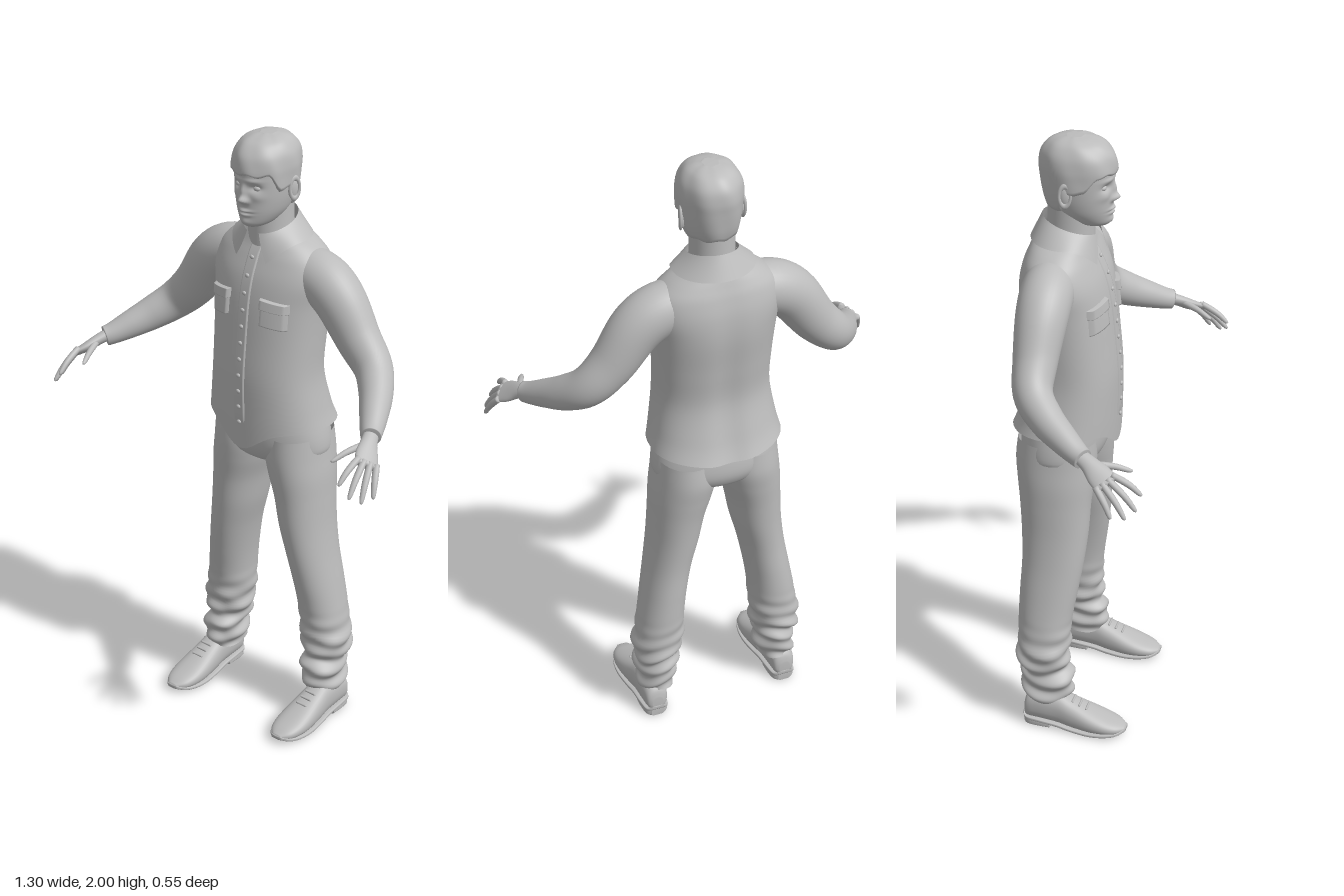
import * as THREE from 'three';

const grey = new THREE.MeshStandardMaterial({ color: 0xbcbcbc, side: THREE.DoubleSide });
grey.name = 'plain grey';
const TAU = Math.PI * 2;
const { lerp, smoothstep } = THREE.MathUtils;
const spow = (v, e) => Math.sign(v) * Math.abs(v) ** e;
const bell = (x, y, sx, sy) => Math.exp(-((x / sx) ** 2) - (y / sy) ** 2);

// Smooth interpolation through rows of numbers, t in 0..1
function sample(rows, t) {
  const f = Math.min(Math.max(t, 0), 1) * (rows.length - 1);
  const i = Math.min(Math.floor(f), rows.length - 2), k = f - i;
  const a = rows[Math.max(i - 1, 0)], b = rows[i], c = rows[i + 1], d = rows[Math.min(i + 2, rows.length - 1)];
  return b.map((_, j) => b[j] + 0.5 * k * (c[j] - a[j] + k * (2 * a[j] - 5 * b[j] + 4 * c[j] - d[j]
    + k * (3 * (b[j] - c[j]) + d[j] - a[j]))));
}

// t on the rows where the first column reaches y
function findT(rows, y) {
  let lo = 0, hi = 1;
  for (let i = 0; i < 24; i++) {
    const mid = (lo + hi) / 2;
    if (sample(rows, mid)[0] < y) lo = mid; else hi = mid;
  }
  return lo;
}

// Surface from pt(t, u); wraps around u when closed, caps may be '', 's', 'e' or 'se'
function surface(m, n, pt, closed = true, caps = '') {
  const pos = [], idx = [], w = closed ? n : n + 1;
  for (let i = 0; i <= m; i++) for (let j = 0; j < w; j++) pos.push(...pt(i / m, j / n));
  for (let i = 0; i < m; i++) for (let j = 0; j < n; j++) {
    const a = i * w + j, b = i * w + (j + 1) % w;
    idx.push(a, b, b + w, a, b + w, a + w);
  }
  const cap = (row, flip) => {
    const c = [0, 0, 0], id = pos.length / 3;
    for (let j = 0; j < w; j++) for (let k = 0; k < 3; k++) c[k] += pos[(row * w + j) * 3 + k] / w;
    pos.push(...c);
    for (let j = 0; j < n; j++) {
      const a = row * w + j, b = row * w + (j + 1) % w;
      idx.push(id, flip ? b : a, flip ? a : b);
    }
  };
  if (caps.includes('s')) cap(0, true);
  if (caps.includes('e')) cap(m, false);
  const g = new THREE.BufferGeometry();
  g.setAttribute('position', new THREE.Float32BufferAttribute(pos, 3));
  g.setIndex(idx);
  g.computeVertexNormals();
  return g;
}

// Upright ring point; rows are [y, centreX, backZ, frontZ, halfWidth]
function ring(rows, t, a, e = 1, off = 0) {
  const [y, cx, zb, zf, rx] = sample(rows, t);
  return [cx + (rx + off) * spow(Math.sin(a), e), y, (zb + zf) / 2 + ((zf - zb) / 2 + off) * spow(Math.cos(a), e)];
}

// Limb along a path; rows are [x, y, z, radiusU, radiusV], ref sets the U direction
function limb(rows, m, n, ref) {
  return surface(m, n, (t, u) => {
    const [x, y, z, r1, r2] = sample(rows, t);
    const T = new THREE.Vector3(...sample(rows, t + 0.01)).sub(new THREE.Vector3(...sample(rows, t - 0.01))).normalize();
    const U = ref.clone().addScaledVector(T, -ref.dot(T)).normalize();
    const p = new THREE.Vector3(x, y, z).addScaledVector(U, r1 * Math.cos(u * TAU));
    return p.addScaledVector(T.cross(U), r2 * Math.sin(u * TAU)).toArray();
  }, true, 'se');
}

const SHIRT = [[1.06, 0, -.275, .056, .213], [1.12, 0, -.25, .059, .2], [1.23, 0, -.224, .06, .185], [1.35, 0, -.232, .05, .187],
  [1.47, 0, -.245, .037, .195], [1.55, 0, -.243, .02, .207], [1.61, 0, -.23, -.004, .195], [1.65, 0, -.215, -.022, .155],
  [1.685, 0, -.2, -.033, .098], [1.705, 0, -.19, -.038, .076]];
const HEAD = [[1.722, 0, -.07, .018, .03], [1.735, 0, -.11, .03, .05], [1.765, 0, -.15, .035, .07], [1.8, 0, -.166, .037, .081],
  [1.84, 0, -.174, .038, .087], [1.88, 0, -.179, .04, .089], [1.91, 0, -.181, .04, .089], [1.945, 0, -.174, .03, .082],
  [1.972, 0, -.152, .004, .064], [1.985, 0, -.125, -.03, .041], [1.99, 0, -.095, -.062, .015]];
const LEG = [[.1, .215, -.195, -.05, .052], [.14, .213, -.206, -.04, .061], [.19, .212, -.212, -.038, .063], [.22, .208, -.208, -.056, .066],
  [.27, .21, -.222, -.052, .079], [.35, .2, -.222, -.05, .078], [.42, .192, -.222, -.043, .074], [.5, .18, -.22, -.03, .072],
  [.6, .162, -.217, -.015, .073], [.7, .143, -.222, -.005, .08], [.8, .13, -.23, 0, .087], [.88, .116, -.24, .008, .097],
  [.95, .105, -.247, .012, .1], [1.02, .103, -.24, .01, .095]];
const PELVIS = [[.905, 0, -.15, -.07, .04], [.92, 0, -.215, -.015, .12], [.95, 0, -.242, .01, .195], [1, 0, -.25, .025, .205], [1.1, 0, -.235, .03, .185]];
const ARM = [[.06, 1.57, -.12, .075, .075], [.17, 1.56, -.118, .085, .082], [.25, 1.512, -.115, .083, .08], [.33, 1.402, -.113, .073, .068],
  [.4, 1.33, -.1, .064, .06], [.455, 1.283, -.045, .056, .053], [.5, 1.248, .022, .045, .044], [.53, 1.226, .07, .036, .036], [.545, 1.218, .094, .033, .031]];
const PALM = [[.538, 1.224, .08, .024, .02], [.555, 1.21, .115, .027, .018], [.575, 1.19, .15, .037, .016], [.598, 1.173, .182, .037, .011]];
const SHOE = [[-.197, .03, .075, .018], [-.185, .02, .11, .036], [-.14, .018, .13, .043], [-.08, .012, .128, .045], [-.03, .004, .106, .05],
  [.03, .001, .08, .056], [.08, .004, .06, .054], [.12, .009, .045, .041], [.146, .018, .032, .016]];

const SE = 0.88; // squareness of the chest
function shirtZ(x, y) {
  const [, , zb, zf, rx] = sample(SHIRT, findT(SHIRT, y));
  const sn = Math.min(Math.abs(x) / rx, 1) ** (1 / SE);
  return (zb + zf) / 2 + (zf - zb) / 2 * Math.sqrt(1 - sn * sn) ** SE;
}

// Raised cloth panel lying on the shirt front
function panel(x0, x1, y0, y1, depth, tilt = 0) {
  return surface(24, 12, (t, u) => {
    const x = lerp(x0, x1, u), y = lerp(y0, y1, t) + tilt * (u - 0.5);
    const edge = u === 0 || u === 1 || t === 0 || t === 1;
    return [x, y, shirtZ(x, y) + (edge ? -0.002 : depth)];
  }, false);
}

export function createModel() {
  const root = new THREE.Group();
  root.name = 'standingMan';
  const add = (name, geo, x = 0, y = 0, z = 0, sx = 1, sy = sx, sz = sx) => {
    const mesh = new THREE.Mesh(geo, grey);
    mesh.name = name;
    mesh.position.set(x, y, z);
    mesh.scale.set(sx, sy, sz);
    root.add(mesh);
    return mesh;
  };
  const ball = new THREE.SphereGeometry(1, 20, 14);

  // Shirt body with a curved hem and a groove down the back
  add('shirtBody', surface(50, 72, (t, u) => {
    const p = ring(SHIRT, t, u * TAU, SE), front = Math.cos(u * TAU) > 0;
    if (!front) p[2] += 0.014 * bell(p[0], 0, 0.045, 1) * (1 - t);
    p[1] -= (front ? 0.08 * bell(p[0], 0, 0.09, 1) : 0.022 * bell(p[0], 0, 0.15, 1)) * (1 - smoothstep(t, 0, 0.2));
    return p;
  }));
  add('buttonPlacket', panel(-0.022, 0.022, 1.06, 1.655, 0.004));
  for (let i = 0; i < 11; i++) {
    const y = 1.075 + i * 0.054;
    add('button', ball, 0, y, shirtZ(0, y) + 0.005, 0.008, 0.007, 0.005);
  }
  // Folded collar, open at the throat
  add('collar', surface(8, 60, (t, u) => {
    const a0 = lerp(0.47, 0.3, t), a = lerp(a0, TAU - a0, u), c = Math.cos(a);
    const y = lerp(1.672 - 0.088 * Math.max(c, 0) ** 3, 1.72 - 0.025 * c, t);
    return [lerp(0.13, 0.078, t) * Math.sin(a), y, lerp(-0.1, -0.092, t) + lerp(0.117, 0.09, t) * c];
  }, false));

  // Neck and head; the face is shaped by soft bumps [x, y, spreadX, spreadY, depth]
  add('neck', surface(10, 40, (t, u) => ring([[1.64, 0, -.18, -.02, .08], [1.7, 0, -.168, -.02, .07], [1.8, 0, -.165, -.02, .068]], t, u * TAU)));
  const bumps = [[0, 1.815, .013, .012, .019], [0, 1.84, .01, .022, .011], [.013, 1.81, .008, .008, .007], [.034, 1.853, .018, .011, -.011],
    [.03, 1.876, .024, .007, .004], [0, 1.778, .022, .005, .008], [0, 1.765, .019, .005, .007], [0, 1.772, .025, .0025, -.004],
    [0, 1.74, .02, .012, .006], [.045, 1.825, .018, .014, .004]];
  add('head', surface(110, 110, (t, u) => {
    const p = ring(HEAD, t, u * TAU);
    if (Math.cos(u * TAU) > 0) {
      let d = 0;
      for (const [x, y, sx, sy, h] of bumps) d += h * bell(Math.abs(p[0]) - x, p[1] - y, sx, sy);
      p[2] += d;
    }
    return p;
  }, true, 'se'));
  // Cropped hair: fringe, sideburns and low nape
  add('hair', surface(30, 72, (t, u) => {
    const a = u * TAU, s = Math.min(a, TAU - a);
    const low = 1.89 - 0.05 * smoothstep(s, 0.85, 1.25) - 0.07 * smoothstep(s, 1.7, 2.1) + 0.004 * Math.sin(a * 9);
    const y = lerp(low, 1.99, Math.sin(t * Math.PI / 2));
    const p = ring(HEAD, findT(HEAD, y), a, 1, t === 0 ? -0.002 : 0.009 + 0.0015 * Math.sin(a * 7 + t * 6));
    p[1] += 0.01 * t;
    return p;
  }, true, 'e'));

  // Trouser seat
  add('trouserSeat', surface(20, 60, (t, u) => ring(PELVIS, t, u * TAU, 0.95), true, 's'));

  for (const s of [1, -1]) {
    const flip = rows => rows.map(([x, ...r]) => [x * s, ...r]);
    const side = s > 0 ? 'left' : 'right';

    add(side + 'Eye', ball, 0.034 * s, 1.852, 0.014, 0.014, 0.01, 0.012);
    add(side + 'Ear', ball, 0.091 * s, 1.837, -0.085, 0.009, 0.034, 0.018).rotation.y = -0.3 * s;
    const rim = add(side + 'EarRim', new THREE.TorusGeometry(0.017, 0.005, 8, 24), 0.097 * s, 1.839, -0.086, 1, 1.9, 1);
    rim.rotation.y = Math.PI / 2 - 0.3 * s;

    // Chest pocket with flap
    const px = [0.06 * s, 0.147 * s].sort((a, b) => a - b);
    add(side + 'Pocket', panel(px[0], px[1], 1.412, 1.495, 0.009, -0.012 * s));
    add(side + 'PocketFlap', panel(px[0] - 0.003, px[1] + 0.003, 1.468, 1.5, 0.014, -0.012 * s));

    // Sleeve, palm, fingers and thumb
    add(side + 'Sleeve', limb(flip(ARM), 48, 36, new THREE.Vector3(0, 1, 0)));
    const across = new THREE.Vector3(0.04 * s, -0.03, -0.045);
    add(side + 'Palm', limb(flip(PALM), 14, 24, across));
    const fingers = [[.575, 1.19, .2, .572, 1.14, .28], [.59, 1.178, .19, .605, 1.103, .272], [.604, 1.168, .175, .63, 1.085, .245],
      [.616, 1.16, .157, .644, 1.09, .205], [.553, 1.207, .12, .508, 1.18, .235]];
    fingers.forEach(([x, y, z, X, Y, Z], i) => {
      const at = (k, r, lift = 0) => [lerp(x, X, k), lerp(y, Y, k) + lift, lerp(z, Z, k), r, r];
      const rows = [at(-0.15, .01), at(0.25, .0105, .005), at(0.6, .0095, .006), at(0.9, .007), at(1, .003)];
      add(side + (i < 4 ? 'Finger' : 'Thumb'), limb(flip(rows), 14, 12, across));
    });

    // Trouser leg, bunched into folds towards the cuff
    add(side + 'TrouserLeg', surface(110, 56, (t, u) => {
      const a = u * TAU, y = sample(LEG, t)[0], f = 1 - smoothstep(y, 0.24, 0.42);
      const fold = f * (0.006 * Math.sin(y * 105 + 2 * Math.sin(a + 0.6)) + 0.004 * Math.sin(y * 62 - 3 * a));
      const p = ring(LEG, t, a, 0.95, fold);
      return [p[0] * s, p[1] + f * 0.008 * Math.sin(2 * a + 1), p[2]];
    }));
    if (s < 0) root.children.at(-1).geometry.index.array.reverse();
    root.children.at(-1).geometry.computeVertexNormals();

    // Shoe upper, thin sole, heel and laces
    const shoe = (rows, e) => surface(36, 36, (t, u) => {
      const [z, y0, y1, w] = sample(rows, t);
      return [0.23 * s + w * spow(Math.cos(u * TAU), e), (y0 + y1) / 2 + (y1 - y0) / 2 * spow(Math.sin(u * TAU), e), z];
    }, true, 'se');
    add(side + 'Shoe', shoe(SHOE, 0.85));
    add(side + 'Sole', shoe(SHOE.map(([z, y0, , w]) => [z * 1.01, y0, y0 + 0.013, w + 0.002]), 0.4));
    add(side + 'Heel', shoe([[-.196, 0, .03, .022], [-.18, 0, .03, .038], [-.14, 0, .028, .043], [-.105, 0, .022, .042]], 0.4));
    for (let i = 0; i < 3; i++) {
      const lace = add(side + 'Lace', new THREE.CapsuleGeometry(0.004, 0.036, 4, 8), 0.23 * s, 0.108 - i * 0.011, -0.03 + i * 0.023);
      lace.rotation.z = Math.PI / 2;
    }
  }
  return root;
}
